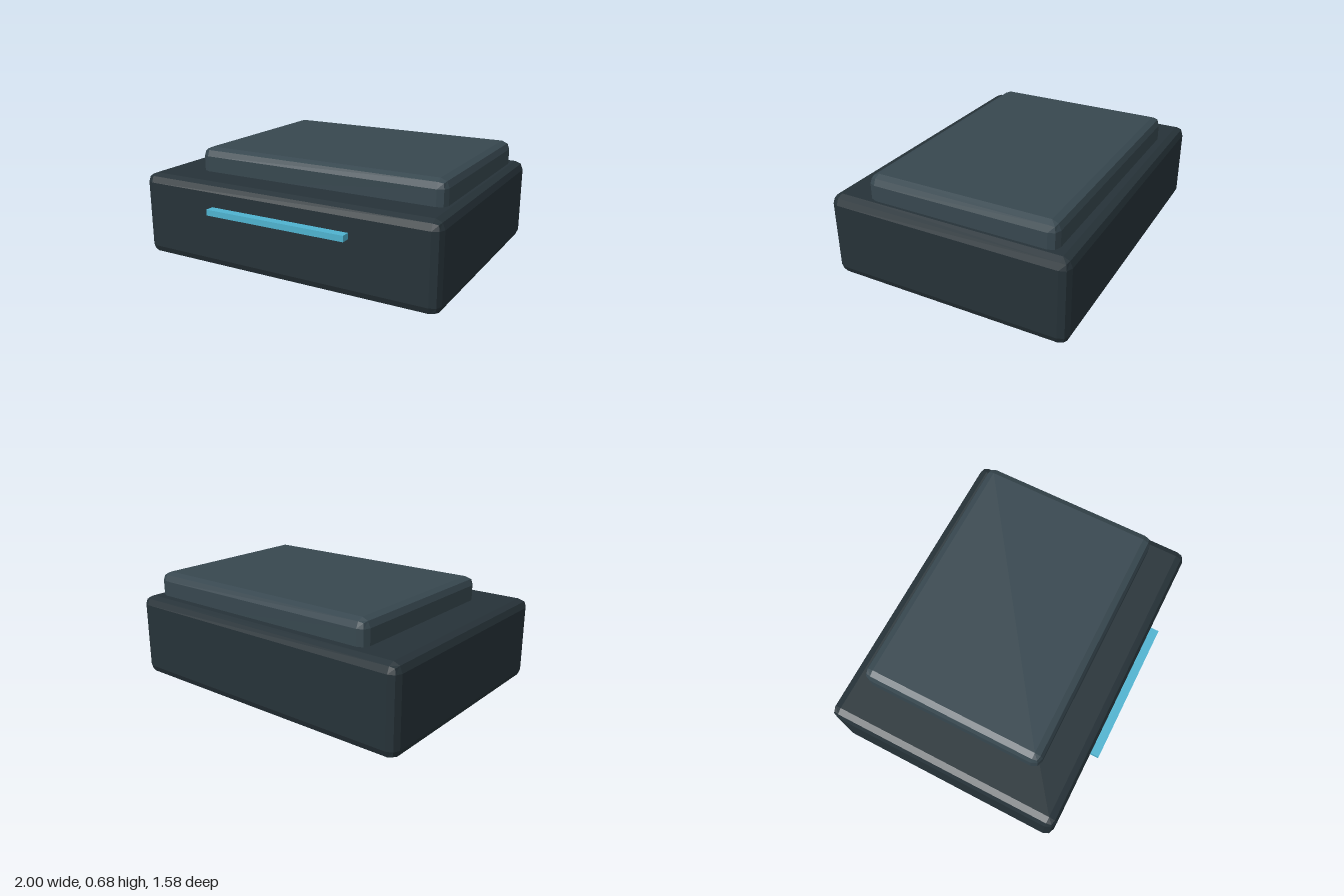
import * as THREE from 'three';

// Box given by its min and max corners, edges rounded with two facets
function beveledBox(min, max, r) {
  const geo = new THREE.BoxGeometry(1, 1, 1, 3, 3, 3);
  const pos = geo.attributes.position;
  const lo = new THREE.Vector3(...min), hi = new THREE.Vector3(...max);
  const centre = lo.clone().add(hi).multiplyScalar(0.5);
  const core = hi.clone().sub(lo).multiplyScalar(0.5).subScalar(r);
  const p = new THREE.Vector3(), n = new THREE.Vector3();
  const outer = (v) => (Math.abs(v) > 0.4 ? Math.sign(v) : 0);
  for (let i = 0; i < pos.count; i++) {
    p.fromBufferAttribute(pos, i);
    n.set(outer(p.x), outer(p.y), outer(p.z)).normalize().multiplyScalar(r);
    p.set(Math.sign(p.x), Math.sign(p.y), Math.sign(p.z)).multiply(core).add(n).add(centre);
    pos.setXYZ(i, p.x, p.y, p.z);
  }
  geo.computeVertexNormals();
  return geo;
}

function part(name, geo, color) {
  const mesh = new THREE.Mesh(geo, new THREE.MeshStandardMaterial({ color, flatShading: true }));
  mesh.name = name;
  return mesh;
}

export function createModel() {
  const group = new THREE.Group();
  group.name = 'box';

  // Main housing
  group.add(part('body', beveledBox([-1, 0, -0.792], [1, 0.533, 0.737], 0.055), 0x263238));

  // Raised slab, set towards the back and the left
  group.add(part('topPanel', beveledBox([-0.73, 0.42, -0.691], [0.927, 0.684, 0.504], 0.053), 0x37474f));

  // Slim strip across the front
  const strip = part('frontStrip', new THREE.BoxGeometry(0.934, 0.037, 0.092), 0x4fb3d0);
  strip.position.set(0, 0.37, 0.746);
  group.add(strip);

  return group;
}
